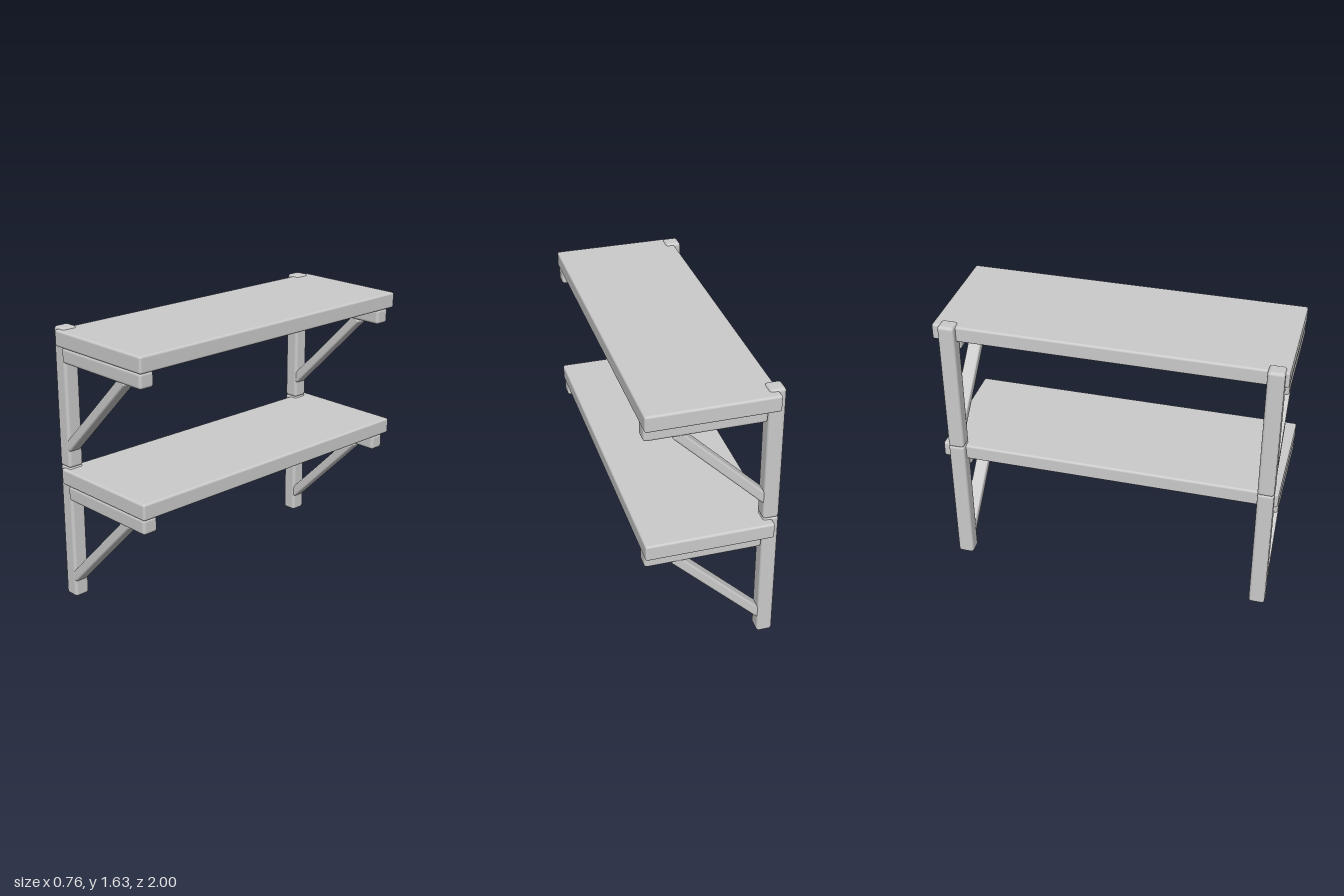
import * as THREE from 'three';
import { RoundedBoxGeometry } from 'three/addons/geometries/RoundedBoxGeometry.js';

const material = new THREE.MeshStandardMaterial({ color: 0xcccccc });

// Rounded timber given by its extents along x, y and z
function timber(name, [x0, x1], [y0, y1], [z0, z1], radius) {
  const geometry = new RoundedBoxGeometry(x1 - x0, y1 - y0, z1 - z0, 3, radius);
  const mesh = new THREE.Mesh(geometry, material);
  mesh.name = name;
  mesh.position.set((x0 + x1) / 2, (y0 + y1) / 2, (z0 + z1) / 2);
  return mesh;
}

// Diagonal strut whose ends are sunk slightly into the post and the arm
function brace([z0, z1]) {
  const start = new THREE.Vector2(-0.315, 0.118);
  const end = new THREE.Vector2(0.2, 0.633);
  const length = start.distanceTo(end);
  const mesh = new THREE.Mesh(new RoundedBoxGeometry(length, 0.057, z1 - z0, 3, 0.012), material);
  mesh.name = 'diagonalBrace';
  mesh.position.set((start.x + end.x) / 2, (start.y + end.y) / 2, (z0 + z1) / 2);
  mesh.rotation.z = Math.PI / 4;
  return mesh;
}

// The two brackets sit at slightly different insets from the shelf ends
const brackets = [
  { name: 'frontBracket', post: [0.883, 0.978], arm: [0.903, 0.998], brace: [0.898, 0.977] },
  { name: 'rearBracket', post: [-0.953, -0.858], arm: [-0.95, -0.857], brace: [-0.942, -0.863] },
];

function createTier(name) {
  const tier = new THREE.Group();
  tier.name = name;
  tier.add(timber('shelfBoard', [-0.346, 0.381], [0.71, 0.805], [-1, 1], 0.013));
  for (const b of brackets) {
    const bracket = new THREE.Group();
    bracket.name = b.name;
    bracket.add(
      timber('post', [-0.384, -0.292], [0, 0.816], b.post, 0.018),
      timber('supportArm', [-0.292, 0.375], [0.624, 0.715], b.arm, 0.018),
      brace(b.brace),
    );
    tier.add(bracket);
  }
  return tier;
}

export function createModel() {
  const model = new THREE.Group();
  model.name = 'twoTierShelf';
  // Identical tiers stacked one on the other
  ['lowerTier', 'upperTier'].forEach((name, i) => {
    const tier = createTier(name);
    tier.position.y = i * 0.81;
    model.add(tier);
  });
  return model;
}
